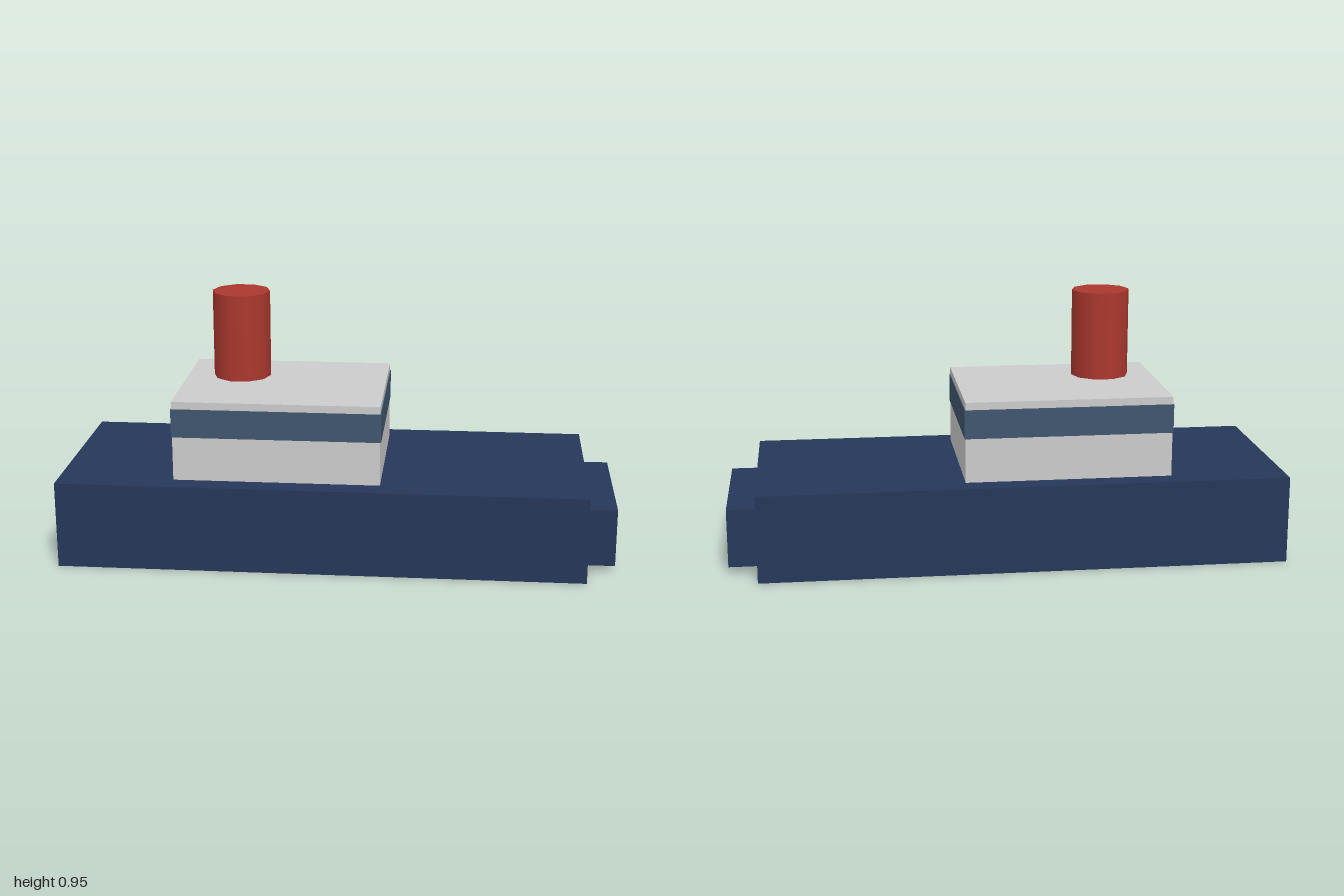
import * as THREE from 'three';

const paint = (color) => new THREE.MeshStandardMaterial({ color });

// Box given by its extents in x and y and its half depth in z
function block(name, x0, x1, y0, y1, halfZ, material) {
  const mesh = new THREE.Mesh(new THREE.BoxGeometry(x1 - x0, y1 - y0, halfZ * 2), material);
  mesh.name = name;
  mesh.position.set((x0 + x1) / 2, (y0 + y1) / 2, 0);
  return mesh;
}

export function createModel() {
  const model = new THREE.Group();
  model.name = 'toyBoat';

  const navy = paint(0x263759);
  const grey = paint(0xcccccc);
  const slate = paint(0x3f566e);
  const red = paint(0xab382f);

  // Hull with a smaller block at the bow
  model.add(block('hull', -1, 0.895, 0, 0.316, 0.368, navy));
  model.add(block('bow', 0.895, 1, 0.027, 0.239, 0.262, navy));

  // Cabin wrapped by a slightly wider window band
  model.add(block('cabin', -0.584, 0.158, 0.316, 0.607, 0.29, grey));
  model.add(block('windowBand', -0.587, 0.161, 0.476, 0.58, 0.293, slate));

  // Ten-sided funnel, hovering just above the roof, corners pointing along x
  const funnel = new THREE.Mesh(new THREE.CylinderGeometry(0.105, 0.105, 0.316, 10), red);
  funnel.name = 'funnel';
  funnel.rotation.y = Math.PI / 2;
  funnel.position.set(-0.369, 0.791, 0);
  model.add(funnel);

  return model;
}
